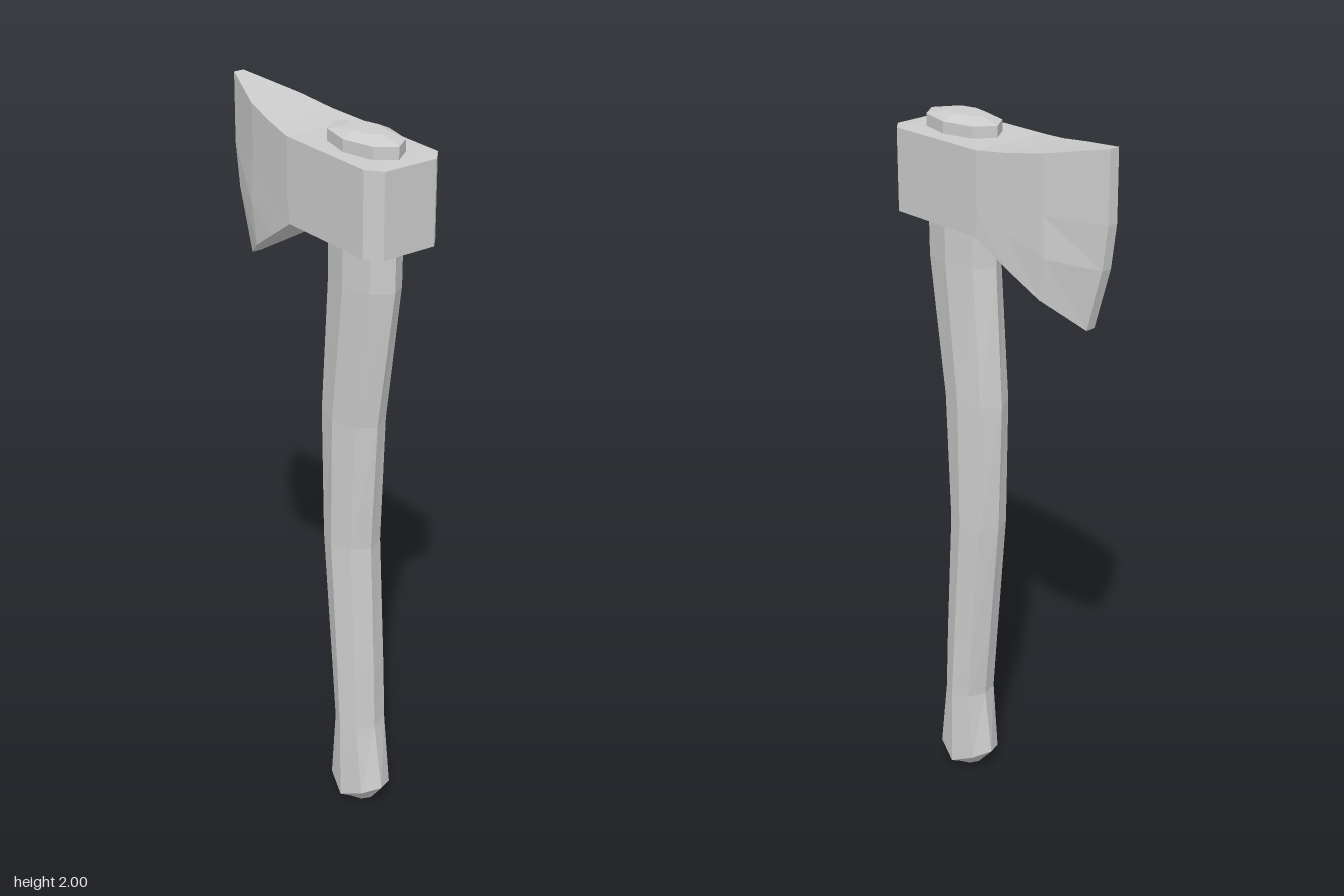
import * as THREE from 'three';

// Skin a list of closed rings and zip both ends shut; non-indexed for faceted normals
function loft(rings) {
  const pos = [];
  const quad = (a, b, c, d) => pos.push(...a, ...b, ...c, ...a, ...c, ...d);
  const n = rings[0].length;
  for (let i = 0; i < rings.length - 1; i++) {
    for (let j = 0; j < n; j++) {
      const k = (j + 1) % n;
      quad(rings[i][j], rings[i][k], rings[i + 1][k], rings[i + 1][j]);
    }
  }
  const first = rings[0], last = rings[rings.length - 1];
  for (let j = 0; j < n / 2 - 1; j++) {
    const k = n - 1 - j;
    quad(first[j], first[k], first[k - 1], first[j + 1]);
    quad(last[j], last[j + 1], last[k - 1], last[k]);
  }
  const geometry = new THREE.BufferGeometry();
  geometry.setAttribute('position', new THREE.Float32BufferAttribute(pos, 3));
  geometry.computeVertexNormals();
  return geometry;
}

// Eight-sided handle section; lift raises the ring's left and right ends
function handleRing([y, x0, x1, halfZ = 0.072, lift = 0]) {
  const cx = (x0 + x1) / 2, rx = (x1 - x0) / 2;
  return Array.from({ length: 8 }, (_, j) => {
    const a = (j * Math.PI) / 4;
    return [cx + rx * Math.cos(a), y + lift * Math.abs(Math.cos(a)), 0.003 + halfZ * Math.sin(a)];
  });
}

// Head section: a column of outline points mirrored to both cheeks
function headRing([halfZ, ...points]) {
  const front = points.map(([x, y]) => [x, y, halfZ]);
  const back = points.map(([x, y]) => [x, y, -halfZ]).reverse();
  return [...front, ...back];
}

export function createModel() {
  const group = new THREE.Group();
  const material = new THREE.MeshStandardMaterial({ color: 0xcccccc, flatShading: true });
  const add = (name, geometry) => {
    const mesh = new THREE.Mesh(geometry, material);
    mesh.name = name;
    group.add(mesh);
  };

  // Curved handle from the end in the eye down to the flared knob: y, xMin, xMax, halfZ, lift
  add('handle', loft([
    [1.985, 0.12, 0.245, 0.04],
    [1.97, 0.058, 0.31],
    [1.59, 0.065, 0.305],
    [1.2, 0.045, 0.245],
    [0.83, 0.06, 0.225],
    [0.45, 0.1, 0.245],
    [0.26, 0.12, 0.252],
    [0.022, 0.095, 0.287, 0.072, 0.045],
    [0, 0.15, 0.24, 0.035, 0.006],
  ].map(handleRing)));

  // Axe head from cutting edge to poll: half thickness, then points top to bottom
  const straight = (halfZ, x, top, bottom) =>
    [halfZ, ...[0, 0.4, 0.7, 1].map((t) => [x, top + (bottom - top) * t])];
  add('axeHead', loft([
    [0.015, [-0.354, 2], [-0.354, 1.81], [-0.337, 1.69], [-0.285, 1.52]],
    [0.076, [-0.19, 1.967], [-0.19, 1.81], [-0.198, 1.7], [-0.178, 1.588]],
    [0.097, [-0.08, 1.949], [-0.08, 1.83], [-0.08, 1.74], [-0.08, 1.65]],
    [0.114, [0.01, 1.94], [0.01, 1.85], [0.01, 1.78], [0.02, 1.714]],
    straight(0.114, 0.314, 1.937, 1.713),
    straight(0.079, 0.351, 1.935, 1.712),
  ].map(headRing)));

  return group;
}
